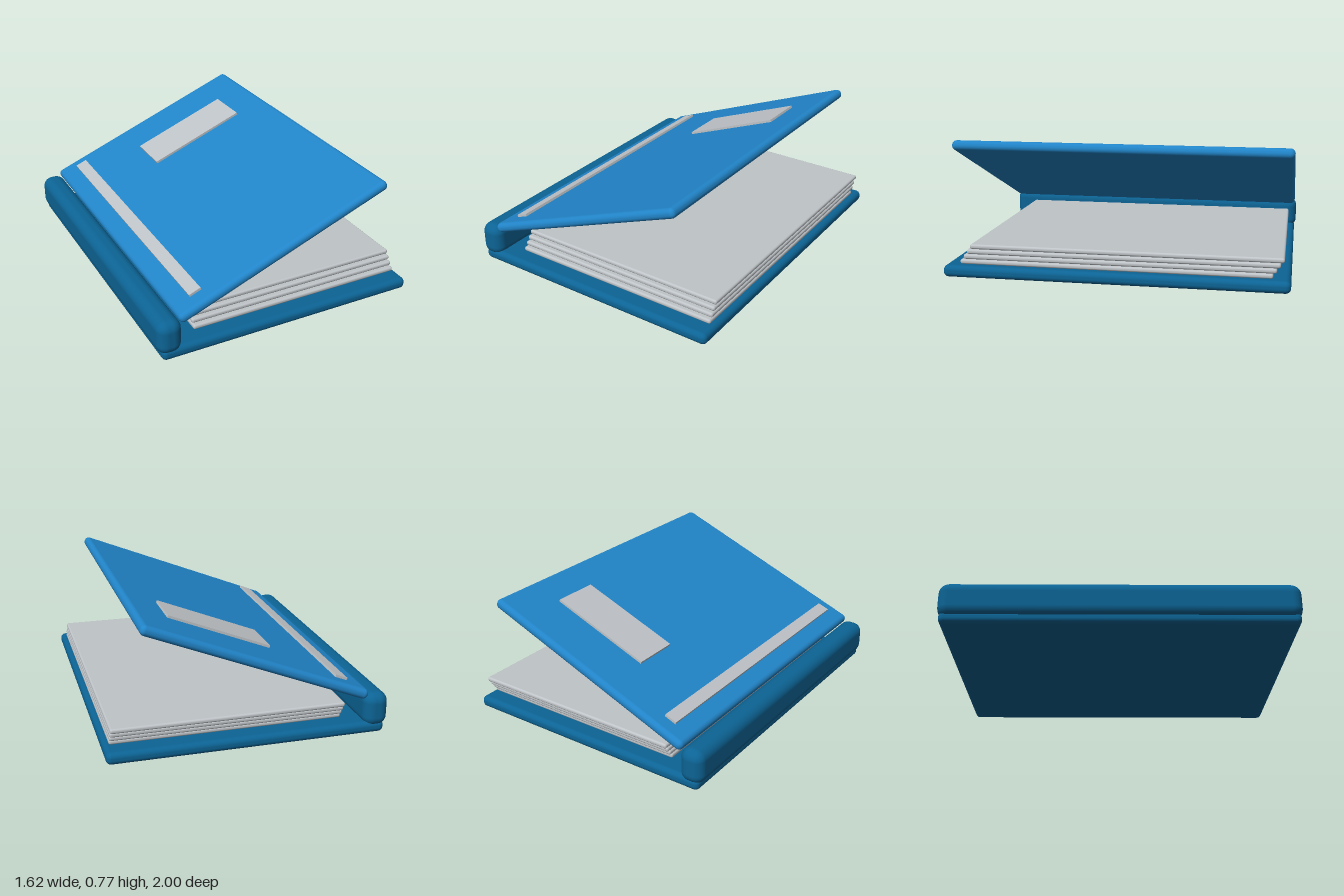
import * as THREE from 'three';
import { RoundedBoxGeometry } from 'three/addons/geometries/RoundedBoxGeometry.js';

export function createModel() {
  const book = new THREE.Group();
  book.name = 'openBook';

  const material = (name, color) => {
    const m = new THREE.MeshStandardMaterial({ color });
    m.name = name;
    return m;
  };
  const brightBlue = material('brightBlue', 0x2185c9);
  const deepBlue = material('deepBlue', 0x0c6495);
  const paperGrey = material('paperGrey', 0xbfc4c8);

  // Adds a rounded slab with its centre at the given position
  const slab = (parent, name, mat, size, radius, position) => {
    const mesh = new THREE.Mesh(new RoundedBoxGeometry(...size, 4, radius), mat);
    mesh.name = name;
    mesh.position.set(...position);
    parent.add(mesh);
    return mesh;
  };

  // Back cover and spine
  slab(book, 'backCover', deepBlue, [1.6, 0.07, 1.98], 0.03, [0.01, 0.035, 0]);
  slab(book, 'spine', deepBlue, [0.145, 0.205, 2], 0.06, [-0.74, 0.138, 0]);

  // Page blocks, each slid a little further back than the one below
  for (let i = 0; i < 4; i++) {
    slab(book, `pages${i + 1}`, paperGrey, [1.34, 0.028, 1.785], 0.012,
      [0.11, 0.09 + i * 0.03, -i * 0.02]);
  }

  // Front cover, swung open about the spine, with its raised trim
  const cover = new THREE.Group();
  cover.name = 'frontCoverGroup';
  cover.position.set(-0.0375, 0.49, 0);
  cover.rotation.z = THREE.MathUtils.degToRad(21.7);
  book.add(cover);
  slab(cover, 'frontCover', brightBlue, [1.39, 0.06, 1.98], 0.028, [0, 0, 0]);

  const plate = (name, width, depth, x, z) => {
    const mesh = new THREE.Mesh(new THREE.BoxGeometry(width, 0.014, depth), paperGrey);
    mesh.name = name;
    mesh.position.set(x, 0.037, z);
    cover.add(mesh);
  };
  plate('coverStrip', 0.075, 1.79, -0.539, 0);
  plate('coverLabel', 0.64, 0.28, 0.163, -0.54);

  return book;
}
